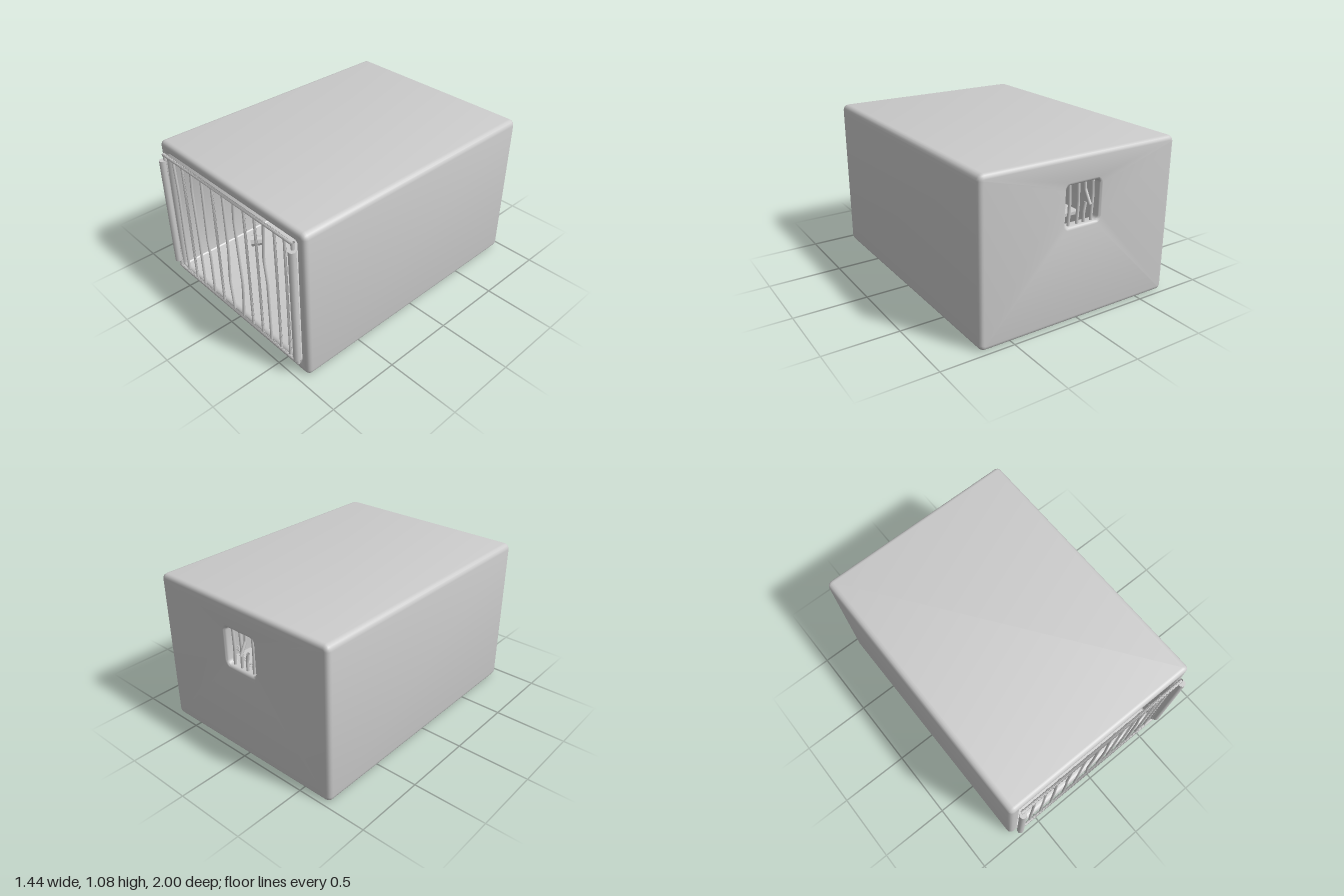
import * as THREE from 'three';
import { toCreasedNormals } from 'three/addons/utils/BufferGeometryUtils.js';

const grey = new THREE.MeshStandardMaterial({ color: 0xcccccc });
const thin = new THREE.MeshStandardMaterial({ color: 0xcccccc, side: THREE.DoubleSide });

function add(parent, name, geometry, x = 0, y = 0, z = 0, material = grey) {
  const mesh = new THREE.Mesh(geometry, material);
  mesh.name = name;
  mesh.position.set(x, y, z);
  parent.add(mesh);
  return mesh;
}

// Rod through a few points, with nearly straight runs between them
function rod(parent, name, points, radius, sides = 8) {
  const curve = new THREE.CatmullRomCurve3(points.map(p => new THREE.Vector3(...p)), false, 'catmullrom', 0.15);
  const segments = points.length > 2 ? 24 : 1;
  return add(parent, name, new THREE.TubeGeometry(curve, segments, radius, sides), 0, 0, 0, thin);
}

// Rounded rectangle loop, counter-clockwise seen from the front
function ring({ cy, w, h, r, z }) {
  const points = [];
  [[1, 1], [-1, 1], [-1, -1], [1, -1]].forEach(([sx, sy], corner) => {
    for (let i = 0; i <= 4; i++) {
      const a = (corner + i / 4) * Math.PI / 2;
      points.push([sx * (w - r) + r * Math.cos(a), cy + sy * (h - r) + r * Math.sin(a), z]);
    }
  });
  return points;
}

// Hollow block lofted through closed loops: window lip, outside, front rim, inside, window
function cellGeometry() {
  const rings = [];
  const arc = (base, from, to, radius, z) => {
    for (let i = 0; i <= 4; i++) {
      const a = from + (to - from) * i / 4;
      const d = radius * Math.cos(a);
      rings.push(ring({ cy: base.cy, w: base.w + d, h: base.h + d, r: base.r + d, z: z + radius * Math.sin(a) }));
    }
  };
  const P = Math.PI;
  const win = { cy: 0.77, w: 0.145, h: 0.15, r: 0.045 };
  const outer = { cy: 0.54, w: 0.69, h: 0.51, r: 0.01 };
  const rim = { cy: 0.54, w: 0.67, h: 0.49, r: 0.04 };
  arc(win, -P, -P / 2, 0.02, -0.95);
  arc(outer, -P / 2, 0, 0.03, -0.94);
  arc(outer, 0, P / 2, 0.03, 0.91);
  arc(rim, P / 2, P, 0.03, 0.91);
  rings.push(ring({ cy: 0.54, w: 0.64, h: 0.46, r: 0.01, z: -0.89 }));
  arc(win, P / 2, P, 0.02, -0.91);

  const n = rings[0].length, index = [];
  rings.forEach((_, j) => {
    const a = j * n, b = ((j + 1) % rings.length) * n;
    for (let i = 0; i < n; i++) {
      const k = (i + 1) % n;
      index.push(a + i, a + k, b + i, a + k, b + k, b + i);
    }
  });
  const geometry = new THREE.BufferGeometry();
  geometry.setAttribute('position', new THREE.Float32BufferAttribute(rings.flat(2), 3));
  geometry.setIndex(index);
  return toCreasedNormals(geometry, 0.9);
}

// Front gate: rails, posts, hinge sleeves and bars, some of them bent
function makeGate() {
  const gate = new THREE.Group();
  gate.name = 'gate';
  for (const y of [0.087, 1.003]) rod(gate, 'gateRail', [[-0.655, y, 0.962], [0.645, y, 0.962]], 0.011);
  for (const s of [-1, 1]) {
    rod(gate, 'gatePost', [[s * 0.642, 0.08, 0.96], [s * 0.642, 1.012, 0.96]], 0.013);
    add(gate, 'hingeSleeve', new THREE.CylinderGeometry(0.024, 0.024, 0.83, 10), s * 0.652, 0.55, 0.974);
  }
  const bars = [
    [[-0.552, 1], [-0.54, 0.75], [-0.55, 0.32], [-0.55, 0.09]],
    [[-0.45, 1], [-0.45, 0.09]],
    [[-0.35, 1], [-0.362, 0.85], [-0.354, 0.5], [-0.354, 0.09]],
    [[-0.238, 1], [-0.248, 0.55], [-0.236, 0.4], [-0.236, 0.09]],
    [[-0.127, 1], [-0.127, 0.09]],
    [[-0.015, 1], [-0.012, 0.58], [-0.03, 0.32], [-0.008, 0.09]],
    [[0.095, 1], [0.085, 0.85], [0.112, 0.4], [0.108, 0.3], [0.09, 0.09]],
    [[0.193, 1], [0.193, 0.09]],
    [[0.295, 1], [0.295, 0.09]],
    [[0.382, 1], [0.36, 0.73], [0.38, 0.55], [0.38, 0.09]],
    [[0.477, 1], [0.477, 0.09]],
    [[0.565, 1], [0.565, 0.09]],
  ];
  for (const bar of bars) rod(gate, 'gateBar', bar.map(([x, y]) => [x, y, 0.955]), 0.009);
  return gate;
}

// Window bars, one of them broken and pushed outwards
function makeWindowBars() {
  const group = new THREE.Group();
  group.name = 'windowBars';
  const z = -0.94;
  rod(group, 'windowBar', [[-0.09, 0.92, z], [-0.095, 0.8, z], [-0.086, 0.62, z]], 0.01);
  rod(group, 'windowBar', [[0.02, 0.92, z], [0.014, 0.78, z], [0.022, 0.62, z]], 0.01);
  rod(group, 'windowBar', [[0.085, 0.92, z], [0.08, 0.76, z], [0.087, 0.62, z]], 0.01);
  rod(group, 'brokenBarTop', [[-0.03, 0.92, z], [-0.032, 0.85, z - 0.005], [-0.035, 0.765, -0.99]], 0.01);
  rod(group, 'brokenBarBottom', [[-0.03, 0.62, z], [-0.03, 0.7, z], [-0.042, 0.765, z]], 0.01);
  return group;
}

// Chain of links, each turned a quarter from the one before
function chain(from, to) {
  const group = new THREE.Group();
  group.name = 'bedChain';
  const a = new THREE.Vector3(...from), b = new THREE.Vector3(...to), count = 15;
  const link = new THREE.TorusGeometry(0.011, 0.004, 5, 10).scale(1.5, 1, 1);
  for (let i = 0; i < count; i++) {
    const mesh = add(group, 'chainLink', link);
    mesh.position.lerpVectors(a, b, (i + 0.5) / count);
    mesh.rotation.set(i % 2 ? 0.75 : -0.75, 0, Math.atan2(b.y - a.y, b.x - a.x), 'ZYX');
  }
  return group;
}

function makeBed() {
  const bed = new THREE.Group();
  bed.name = 'bed';
  add(bed, 'bedBoard', new THREE.BoxGeometry(0.38, 0.024, 0.92), 0.45, 0.27, -0.16);
  for (const z of [0.25, -0.57]) bed.add(chain([0.295, 0.282, z], [0.64, 0.51, z]));
  return bed;
}

// Wall table with two cut corners and a single leg
function makeTable() {
  const table = new THREE.Group();
  table.name = 'table';
  const outline = [[-0.64, -0.14], [-0.5, -0.14], [-0.43, -0.07], [-0.43, 0.11], [-0.5, 0.18], [-0.64, 0.18]];
  const shape = new THREE.Shape(outline.map(p => new THREE.Vector2(...p)));
  const top = new THREE.ExtrudeGeometry(shape, { depth: 0.024, bevelEnabled: false });
  add(table, 'tableTop', top.rotateX(-Math.PI / 2), 0, 0.297, 0);
  add(table, 'tableLeg', new THREE.BoxGeometry(0.06, 0.225, 0.06), -0.497, 0.188, 0.03);
  return table;
}

// Bucket tipped over on the floor
function makeBucket() {
  const wall = [[0, -0.045], [0.034, -0.045], [0.044, 0.045], [0.039, 0.045], [0.03, -0.038], [0, -0.038]];
  const profile = wall.map(p => new THREE.Vector2(...p));
  const geometry = toCreasedNormals(new THREE.LatheGeometry(profile, 8), 0.4);
  geometry.rotateX(Math.PI / 2 + 0.1).rotateY(-0.8);
  const mesh = new THREE.Mesh(geometry, thin);
  mesh.name = 'bucket';
  mesh.position.set(-0.45, 0.125, 0.42);
  return mesh;
}

export function createModel() {
  const model = new THREE.Group();
  model.name = 'prisonCell';
  add(model, 'cellWalls', cellGeometry());
  model.add(makeGate(), makeWindowBars(), makeBed(), makeTable(), makeBucket());
  return model;
}
